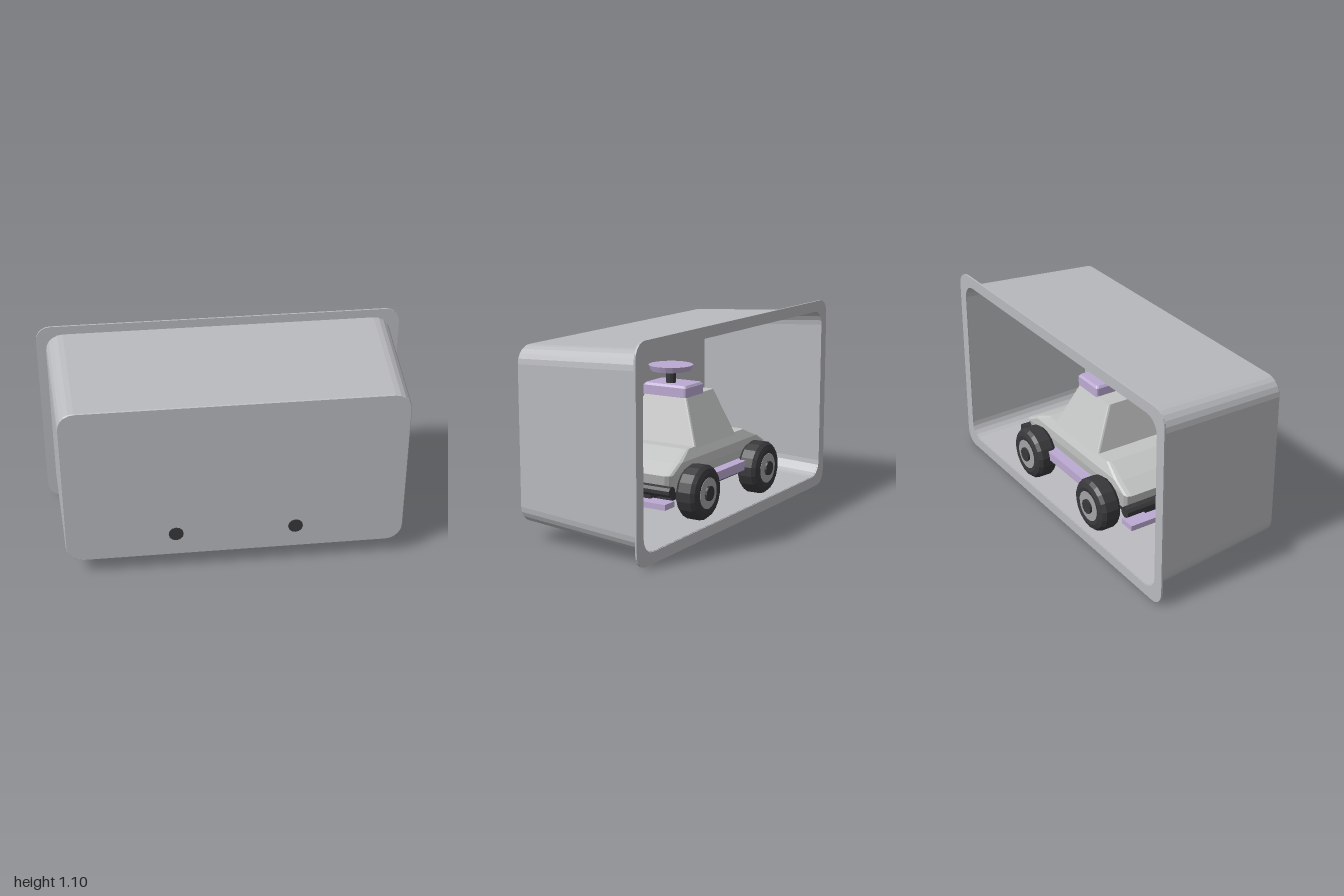
import * as THREE from 'three';

const mat = (name, color) => Object.assign(new THREE.MeshStandardMaterial({ color, flatShading: true }), { name });

// Rounded rectangle ring, counter-clockwise in XY, at depth z
function ring(cx, cy, hw, hh, r, z, seg = 5) {
  const pts = [];
  [[1, 1], [-1, 1], [-1, -1], [1, -1]].forEach(([sx, sy], q) => {
    for (let i = 0; i <= seg; i++) {
      const a = (q + i / seg) * Math.PI / 2;
      pts.push([cx + sx * (hw - r) + r * Math.cos(a), cy + sy * (hh - r) + r * Math.sin(a), z]);
    }
  });
  return pts;
}

// Flat-faced skin through equal-length rings
function loft(rings) {
  const pos = [];
  const n = rings[0].length;
  for (let k = 0; k < rings.length - 1; k++) {
    for (let j = 0; j < n; j++) {
      const a = rings[k][j], b = rings[k][(j + 1) % n];
      const c = rings[k + 1][(j + 1) % n], d = rings[k + 1][j];
      pos.push(...a, ...b, ...c, ...a, ...c, ...d);
    }
  }
  const g = new THREE.BufferGeometry();
  g.setAttribute('position', new THREE.Float32BufferAttribute(pos, 3));
  g.computeVertexNormals();
  return g;
}

// Closed solid from stacked rectangles: [y, centreX, halfX, halfZ, cornerRadius]
function stack(levels) {
  const r = levels.map(([y, cx, hx, hz, c]) => ring(cx, 0, hx, hz, c, y, 2));
  const cap = ([y, cx]) => ring(cx, 0, 0, 0, 0, y, 2);
  return loft([cap(levels[0]), ...r, cap(levels[levels.length - 1])]).rotateX(-Math.PI / 2);
}

// Rounded rectangle outline for extrusion
function outline(Type, hw, hh, r) {
  return new Type(ring(0, 0.55, hw, hh, r, 0).map(([x, y]) => new THREE.Vector2(x, y)));
}

export function createModel() {
  const shellGrey = mat('shell grey', 0xb9babe);
  shellGrey.side = THREE.DoubleSide;
  const bodyGrey = mat('body grey', 0xc2c3c3);
  const lavender = mat('lavender', 0xbcaad2);
  const black = mat('black', 0x38383b);
  const rimGrey = mat('rim grey', 0xa2a2a5);

  const model = new THREE.Group();
  model.name = 'carInCase';
  const car = new THREE.Group();
  car.name = 'car';
  model.add(car);

  const add = (parent, name, geo, material, x = 0, y = 0, z = 0) => {
    const m = new THREE.Mesh(geo, material);
    m.name = name;
    m.position.set(x, y, z);
    parent.add(m);
    return m;
  };

  // Tapered case, open at the back, with inner and outer walls
  const cy = 0.552;
  add(model, 'caseShell', loft([
    ring(0, cy, 0, 0, 0, 0.376),
    ring(0, cy, 0.895, 0.445, 0.085, 0.376),
    ring(0, cy, 0.94, 0.49, 0.085, -0.38),
    ring(0, cy, 0.95, 0.5, 0.095, -0.38),
    ring(0, cy, 0.906, 0.457, 0.09, 0.38),
    ring(0, cy, 0.902, 0.453, 0.086, 0.385),
    ring(0, cy, 0, 0, 0, 0.385),
  ]), shellGrey);

  // Flat rim around the opening
  const rim = outline(THREE.Shape, 1, 0.55, 0.08);
  rim.holes.push(outline(THREE.Path, 0.94, 0.49, 0.085));
  add(model, 'caseRim', new THREE.ExtrudeGeometry(rim, { depth: 0.01, bevelEnabled: false }), shellGrey, 0, 0, -0.385);

  // Car body, cabin and underside
  add(car, 'body', stack([
    [0.24, 0, 0.48, 0.24, 0.03],
    [0.34, 0, 0.51, 0.26, 0.03],
    [0.39, 0, 0.42, 0.26, 0.03],
    [0.44, 0, 0.3, 0.235, 0.02],
  ]), bodyGrey);
  add(car, 'cabin', stack([
    [0.43, 0.015, 0.215, 0.24, 0.012],
    [0.68, 0, 0.145, 0.13, 0.012],
  ]), bodyGrey);
  add(car, 'underside', new THREE.BoxGeometry(0.84, 0.06, 0.42), black, 0, 0.215, 0);

  // Roof box with a dish on a short stem
  add(car, 'roofBox', stack([
    [0.675, 0.06, 0.095, 0.135, 0.012],
    [0.725, 0.06, 0.095, 0.135, 0.012],
    [0.737, 0.06, 0.085, 0.125, 0.012],
  ]), lavender);
  add(car, 'dishStem', new THREE.CylinderGeometry(0.026, 0.026, 0.08, 10), black, 0.085, 0.77, 0);
  add(car, 'dish', new THREE.CylinderGeometry(0.12, 0.108, 0.03, 20), lavender, 0.085, 0.82, 0);

  // Tyre section: radius against width
  const tyreProfile = [[0.07, -0.06], [0.105, -0.064], [0.13, -0.055], [0.145, -0.036],
    [0.145, 0.036], [0.13, 0.055], [0.105, 0.064], [0.082, 0.06], [0.07, 0.04]]
    .map(([r, w]) => new THREE.Vector2(r, w));
  const tyreGeo = new THREE.LatheGeometry(tyreProfile, 18).rotateX(Math.PI / 2);
  const rimGeo = new THREE.CylinderGeometry(0.083, 0.083, 0.118, 18).rotateX(Math.PI / 2);
  const hubGeo = new THREE.CylinderGeometry(0.04, 0.04, 0.148, 12).rotateX(Math.PI / 2);

  for (const side of [1, -1]) {
    // Wheels
    for (const end of [1, -1]) {
      const wheel = new THREE.Group();
      wheel.name = 'wheel';
      wheel.position.set(end * 0.32, 0.23, side * 0.315);
      if (side < 0) wheel.rotation.y = Math.PI;
      add(wheel, 'tyre', tyreGeo, black);
      add(wheel, 'wheelRim', rimGeo, rimGrey, 0, 0, 0.003);
      add(wheel, 'hub', hubGeo, black);
      car.add(wheel);
    }
    // Side bars between the wheels
    add(car, 'sideBar', new THREE.BoxGeometry(0.48, 0.05, 0.07), lavender, 0, 0.265, side * 0.275);
    // Bumpers and low plates at both ends
    add(car, 'bumper', new THREE.CylinderGeometry(0.03, 0.03, 0.56, 10).rotateX(Math.PI / 2), black, side * 0.52, 0.265, 0);
    add(car, 'bumperPlate', new THREE.BoxGeometry(0.09, 0.03, 0.56), lavender, side * 0.54, 0.2, 0);
    add(car, 'bumperMount', new THREE.BoxGeometry(0.12, 0.03, 0.3), black, side * 0.46, 0.225, 0);
  }
  // Axles
  for (const end of [1, -1]) {
    add(car, 'axle', new THREE.CylinderGeometry(0.025, 0.025, 0.6, 8).rotateX(Math.PI / 2), black, end * 0.32, 0.23, 0);
  }
  return model;
}
